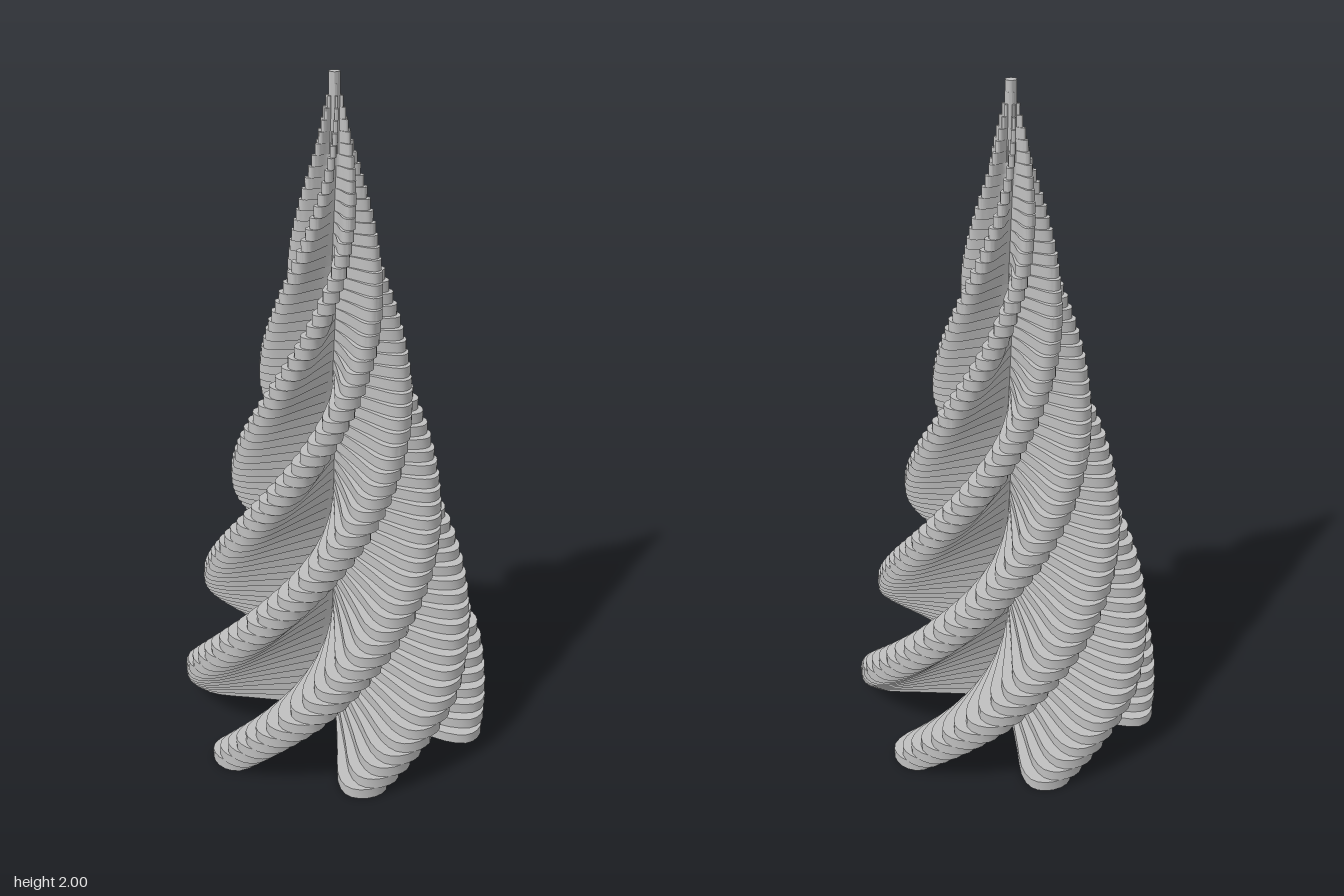
import * as THREE from 'three';
import { mergeGeometries, toCreasedNormals } from 'three/addons/utils/BufferGeometryUtils.js';

const LAYERS = 64, HEIGHT = 2, ARMS = 6;
const STEP = HEIGHT / LAYERS;
const TWIST = THREE.MathUtils.degToRad(5);

// Half of one club-shaped arm: [radius factor, degrees from the arm's centre line]
const HALF_ARM = [[0.05, 30], [0.3, 12], [0.6, 11], [0.82, 10.8], [0.95, 8], [1, 3]];

// Outline of one layer: six arms meeting in sharp valleys near the axis
function layerShape(radius) {
  const profile = [
    ...HALF_ARM.map(([r, a]) => [r, -a]),
    ...HALF_ARM.slice().reverse(),
  ];
  const points = [];
  for (let k = 0; k < ARMS; k++) {
    const centre = 30 + k * 60;
    const arm = profile.map(([r, a]) => {
      const angle = THREE.MathUtils.degToRad(centre + a);
      const d = Math.max(r * radius, 0.016);
      return new THREE.Vector2(d * Math.cos(angle), d * Math.sin(angle));
    });
    const curve = new THREE.SplineCurve(arm).getPoints(22);
    curve.pop(); // the next arm starts at the same valley point
    points.push(...curve);
  }
  return new THREE.Shape(points);
}

export function createModel() {
  const group = new THREE.Group();
  group.name = 'spiralTree';
  const grey = new THREE.MeshStandardMaterial({ color: 0xc0c0c0 });
  grey.name = 'light grey';

  // Stacked layers, each turned a little and smaller than the one below
  const layers = [];
  for (let i = 0; i < LAYERS; i++) {
    const y = i * STEP;
    const radius = Math.min(0.465, 0.26 * (HEIGHT - y));
    const layer = new THREE.ExtrudeGeometry(layerShape(radius), {
      depth: STEP, bevelEnabled: false, steps: 1,
    });
    layer.rotateX(-Math.PI / 2);
    layer.rotateY(i * TWIST);
    layer.translate(-0.012 * Math.min(1, y / 0.4), y, 0);
    layers.push(toCreasedNormals(layer, 0.6));
  }
  const tree = new THREE.Mesh(mergeGeometries(layers), grey);
  tree.name = 'twistedLayers';
  group.add(tree);
  return group;
}
